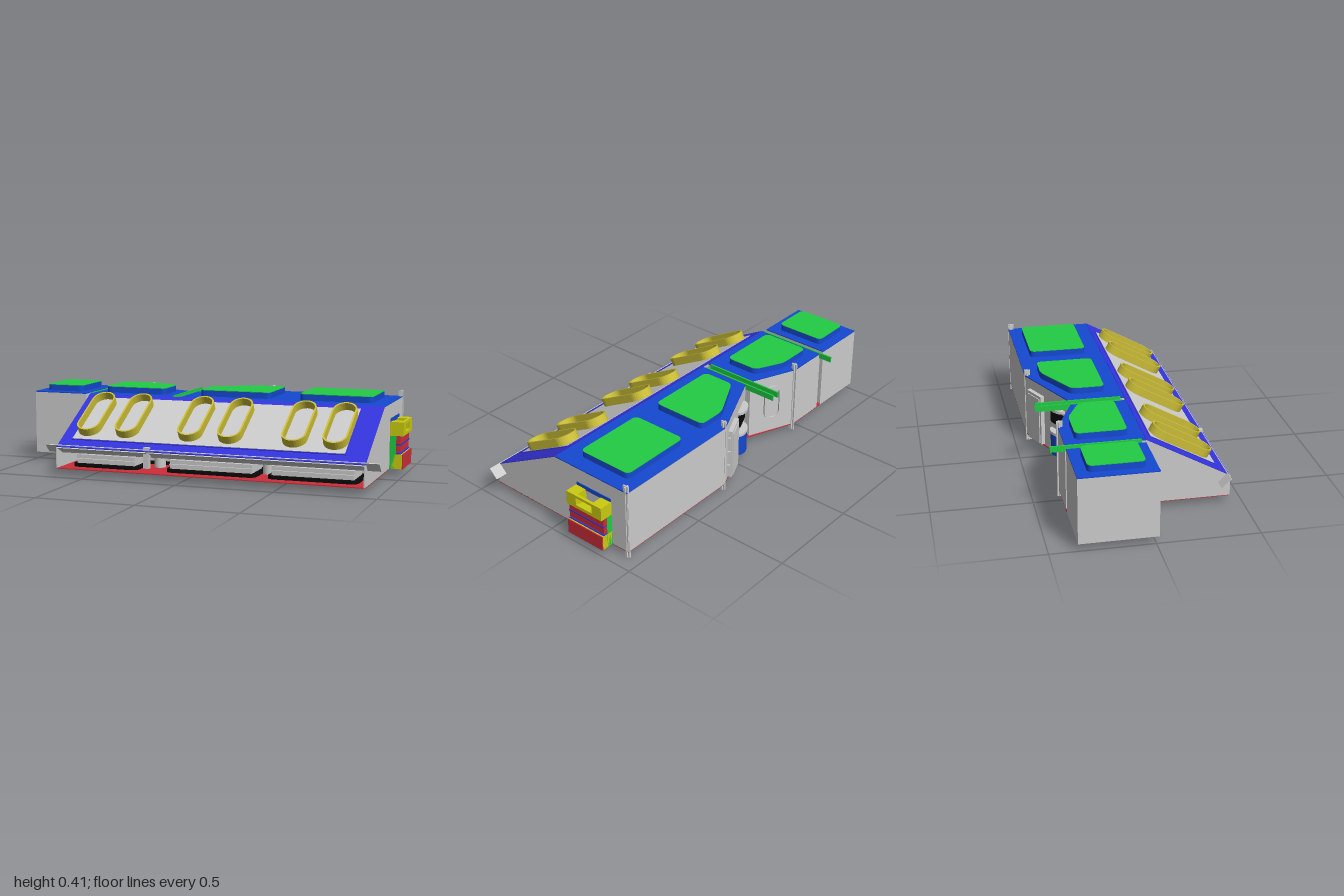
import * as THREE from 'three';

const GREY = 0xcccccc, BLUE = 0x1549d2, INDIGO = 0x3434dd, GREEN = 0x22cc44;
const RED = 0xcc2f3a, YELLOW = 0xcccc11, OCHRE = 0xccbf38, BLACK = 0x0a0a0a;

const mats = {};
const mat = (color) => (mats[color] ??= new THREE.MeshStandardMaterial({ color, side: THREE.DoubleSide }));

export function createModel() {
  const root = new THREE.Group();

  const add = (name, geo, color = GREY, parent = root) => {
    const m = new THREE.Mesh(geo, mat(color));
    m.name = name;
    parent.add(m);
    return m;
  };
  // Box given by its limits on each axis
  const box = (name, [x0, x1], [y0, y1], [z0, z1], color, parent) => {
    const g = new THREE.BoxGeometry(x1 - x0, y1 - y0, z1 - z0);
    g.translate((x0 + x1) / 2, (y0 + y1) / 2, (z0 + z1) / 2);
    return add(name, g, color, parent);
  };
  // Polygon with optionally rounded corners
  const poly = (pts, r = 0) => {
    const v = pts.map((p) => new THREE.Vector2(...p));
    if (!r) return new THREE.Shape(v);
    const s = new THREE.Shape();
    v.forEach((p, i) => {
      const prev = v[(i + v.length - 1) % v.length], next = v[(i + 1) % v.length];
      const a = p.clone().add(prev.clone().sub(p).setLength(r));
      const b = p.clone().add(next.clone().sub(p).setLength(r));
      i ? s.lineTo(a.x, a.y) : s.moveTo(a.x, a.y);
      s.quadraticCurveTo(p.x, p.y, b.x, b.y);
    });
    s.closePath();
    return s;
  };
  const rect = (x0, x1, y0, y1) => [[x0, y0], [x1, y0], [x1, y1], [x0, y1]];
  const extrude = (shape, depth) =>
    new THREE.ExtrudeGeometry(shape, { depth, bevelEnabled: false, curveSegments: 8 });
  // Plan shape in x, z raised from y0 to y1
  const slab = (name, shape, y0, y1, color) =>
    add(name, extrude(shape, y1 - y0).rotateX(Math.PI / 2).translate(0, y1, 0), color);
  // Side profile in z, y swept from x0 to x1
  const prism = (name, pts, x0, x1, color) =>
    add(name, extrude(poly(pts.map(([z, y]) => [-z, y])), x1 - x0).rotateY(Math.PI / 2).translate(x0, 0, 0), color);
  // Upright rounded slot outline
  const slot = (w, h) => {
    const s = new THREE.Shape();
    s.absarc(0, h - w, w, 0, Math.PI);
    s.absarc(0, w - h, w, Math.PI, Math.PI * 2);
    s.closePath();
    return s;
  };
  const ring = (w, h, t, depth) => {
    const s = slot(w, h);
    s.holes.push(slot(w - t, h - t));
    return extrude(s, depth);
  };

  // Building blocks, roof decks and raised roof gardens
  const blocks = [
    rect(-1, -0.7, -0.365, 0.015),
    [[-0.67, -0.365], [-0.45, -0.365], [-0.2, -0.26], [-0.2, 0.02], [-0.67, 0.02]],
    [[-0.16, -0.26], [0.22, -0.435], [0.93, -0.435], [0.93, 0.02], [-0.16, 0.02]],
  ];
  blocks.forEach((pts) => {
    slab('buildingBlock', poly(pts), 0.036, 0.367);
    slab('roofDeck', poly(pts), 0.367, 0.372, BLUE);
  });
  const gardens = [
    rect(-0.955, -0.745, -0.31, -0.04),
    [[-0.61, -0.308], [-0.42, -0.308], [-0.27, -0.235], [-0.27, -0.055], [-0.61, -0.055]],
    [[-0.075, -0.235], [0.16, -0.36], [0.31, -0.36], [0.31, -0.065], [-0.075, -0.065]],
    rect(0.465, 0.85, -0.37, -0.07),
  ];
  gardens.forEach((pts) => {
    slab('roofCurb', poly(pts, 0.03), 0.37, 0.403, BLUE);
    slab('roofGarden', poly(pts, 0.03), 0.403, 0.406, GREEN);
  });

  // Floor plate
  slab('floorPlate', poly([[-0.67, 0.438], [-0.67, -0.365], [-0.45, -0.365], [-0.18, -0.26],
    [0.22, -0.435], [0.93, -0.435], [0.93, 0.438]]), 0.033, 0.038, RED);

  // Sloped front with recessed ground level
  prism('frontHall', [[0.02, 0.036], [0.17, 0.036], [0.17, 0.12], [0.4, 0.12], [0.44, 0.14], [0.02, 0.37]], -0.665, 0.925);
  [[-0.67, -0.664], [0.924, 0.93]].forEach(([a, b]) =>
    prism('endWall', [[0.02, 0.036], [0.44, 0.036], [0.44, 0.14], [0.02, 0.37]], a, b));
  box('recessBase', [-0.66, 0.92], [0.038, 0.056], [0.17, 0.18], BLACK);
  prism('frontCanopy', [[0.425, 0.155], [0.38, 0.11], [0.384, 0.109], [0.429, 0.152]], -0.735, 0.995);

  // Bays along the recess
  [[-0.61, -0.25], [-0.1, 0.37], [0.43, 0.88]].forEach(([a, b]) => {
    box('bayCounter', [a + 0.02, b - 0.02], [0.055, 0.1], [0.19, 0.36]);
    box('bayShelf', [a + 0.02, b - 0.02], [0.075, 0.08], [0.19, 0.372]);
    slab('bayBase', poly(rect(a, b, 0.17, 0.38), 0.04), 0.038, 0.055, BLACK);
    const rim = poly(rect(a, b, 0.17, 0.38), 0.04);
    rim.holes.push(poly(rect(a + 0.01, b - 0.01, 0.18, 0.37), 0.035));
    slab('bayUnderRim', rim, 0.025, 0.034, BLACK);
  });
  [-0.18, 0.4].forEach((x) => {
    const c = add('recessColumn', new THREE.CylinderGeometry(0.03, 0.03, 0.084, 16));
    c.position.set(x, 0.078, 0.24);
  });
  box('frontBracket', [-0.195, -0.165], [0.06, 0.165], [0.405, 0.43]);

  // Sloped facade: frame, panel and slot-shaped hoods
  const facade = new THREE.Group();
  facade.name = 'slopedFacade';
  facade.position.set(0, 0.255, 0.23);
  facade.rotation.x = -(Math.PI / 2 - Math.atan2(0.23, 0.42));
  root.add(facade);
  add('facadeFrame', extrude(poly(rect(-0.67, 0.93, -0.232, 0.239)), 0.003), INDIGO, facade);
  box('facadePanelEdge', [-0.612, 0.822], [-0.168, 0.207], [0.001, 0.006], INDIGO, facade);
  box('facadePanel', [-0.607, 0.817], [-0.163, 0.202], [0.003, 0.008], GREY, facade);
  [-0.54, -0.33, 0.01, 0.22, 0.55, 0.755].forEach((x) =>
    add('windowHood', ring(0.062, 0.167, 0.009, 0.046), OCHRE, facade).position.set(x, 0.028, 0.004));

  // Recessed links between blocks
  [[-0.7, -0.67, -0.26, -0.12, -0.365, 0.015], [-0.2, -0.16, -0.19, -0.08, -0.26, 0.04]].forEach(([a, b, z0, z1, f0, f1]) => {
    box('linkWall', [a, b], [0.036, 0.31], [z0, z1]);
    box('linkFloor', [a, b], [0.034, 0.045], [f0, f1], RED);
    box('linkCrossbar', [a, b], [0.27, 0.28], [f0 + 0.03, f1 - 0.03], RED);
  });
  [-0.668, -0.2, -0.16].forEach((x) =>
    box('roofRail', [x - 0.004, x + 0.004], [0.346, 0.376], [-0.437, 0], GREEN));

  // Corner posts and feet
  [[0.922, -0.422], [0.22, -0.422], [-0.45, -0.357]].forEach(([x, z]) => {
    box('cornerPost', [x - 0.004, x + 0.004], [0, 0.402], [z - 0.015, z + 0.015]);
    box('postFlange', [x - 0.013, x + 0.013], [0.002, 0.4], [z - 0.006, z + 0.002]);
  });
  [-0.195, -0.165].forEach((x) => box('foot', [x - 0.007, x + 0.007], [0.006, 0.036], [-0.01, 0.015]));

  // Side bay with trays and shutters
  const z = [-0.335, -0.115];
  box('sideBayBack', [0.93, 0.963], [0.036, 0.205], z, GREEN);
  box('sideTrayFloor', [0.93, 1], [0.205, 0.215], z, YELLOW);
  z.forEach((e, i) => {
    const span = i ? [e - 0.06, e] : [e, e + 0.06];
    box('sideTrayEnd', [0.93, 1], [0.215, 0.276], span, YELLOW);
  });
  box('sideTrayLip', [0.985, 1], [0.262, 0.276], z, YELLOW);
  box('sideTraySill', [0.985, 1], [0.215, 0.222], z, YELLOW);
  slab('sideBayHeader', poly(rect(0.928, 0.934, -0.333, -0.117)), 0.27, 0.292, BLUE);
  box('lowerTray', [0.93, 0.994], [0.036, 0.11], z, YELLOW);
  box('lowerShutter', [0.994, 1], [0.036, 0.112], z, RED);
  box('middleShutter', [0.963, 0.985], [0.122, 0.158], z, RED);
  box('upperShutter', [0.963, 0.985], [0.163, 0.205], z, RED);
  [0.112, 0.158].forEach((y) => box('shutterTrim', [0.963, 0.988], [y, y + 0.006], z, INDIGO));

  // Group set on a slanted rear wall, its +z pointing out of the wall
  const rearWall = (name, [ax, az], [bx, bz]) => {
    const g = new THREE.Group();
    g.name = name;
    g.position.set((ax + bx) / 2, 0, (az + bz) / 2);
    g.rotation.y = Math.atan2(bz - az, ax - bx);
    root.add(g);
    return g;
  };
  const entry = rearWall('entryWall', [-0.16, -0.26], [0.22, -0.435]);
  box('serviceDoor', [-0.155, -0.025], [0.045, 0.315], [0, 0.022], GREY, entry);
  box('doorLeaf', [-0.143, -0.037], [0.05, 0.3], [0.022, 0.027], GREY, entry);
  [0.1, 0.18, 0.26].forEach((y) => box('doorHinge', [-0.165, -0.155], [y, y + 0.02], [0, 0.014], GREY, entry));
  add('entryWindow', extrude(poly(rect(0.05, 0.165, 0.205, 0.27), 0.015), 0.012), BLACK, entry);
  const half = (name, r, y0, y1, color) => {
    const m = add(name, new THREE.CylinderGeometry(r, r, y1 - y0, 24, 1, false, -Math.PI / 2, Math.PI), color, entry);
    m.position.set(0.107, (y0 + y1) / 2, 0);
    m.scale.z = 0.6;
  };
  half('entryDrum', 0.057, 0.04, 0.155, BLUE);
  half('drumLedge', 0.062, 0.155, 0.17, GREY);
  half('entryHood', 0.062, 0.285, 0.3, GREY);

  const hatchWall = rearWall('hatchWall', [-0.45, -0.365], [-0.2, -0.26]);
  hatchWall.rotation.y += Math.PI;
  hatchWall.rotation.y = Math.atan2(0.105, -0.25);
  add('hatchRing', ring(0.05, 0.1, 0.012, 0.01), GREY, hatchWall).position.set(0, 0.21, 0);
  add('hatchPlate', extrude(slot(0.036, 0.086), 0.004), GREY, hatchWall).position.set(0, 0.21, 0);

  return root;
}
